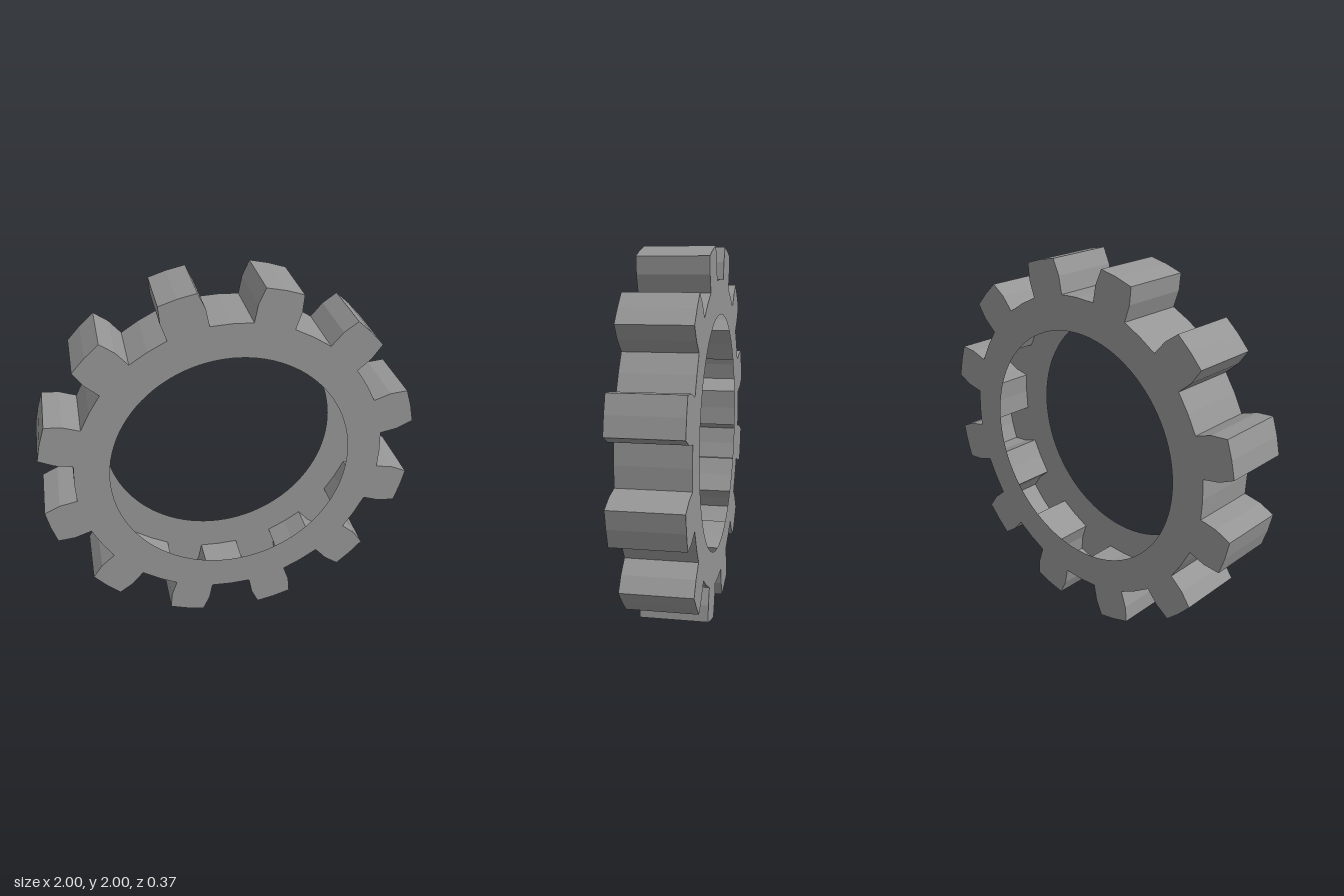
import * as THREE from 'three';

const TEETH = 12;
const HALF_DEPTH = 0.185;
const BORE = 0.645;
const PITCH = (Math.PI * 2) / TEETH;

// One tooth and the gap after it: [angle from tooth centre in degrees, radius]
const TOOTH = [
  [-7.45, 0.832], [-7.1, 0.926], [-5.6, 1.013], [0, 1.013],
  [5.6, 1.013], [7.1, 0.926], [7.45, 0.832], [15, 0.83],
];

// Counter-clockwise outline of the whole gear
function gearOutline() {
  const points = [];
  for (let i = 0; i < TEETH; i++) {
    for (const [degrees, radius] of TOOTH) {
      const a = (i + 0.5) * PITCH + THREE.MathUtils.degToRad(degrees);
      points.push(new THREE.Vector2(Math.cos(a) * radius, Math.sin(a) * radius));
    }
  }
  return points;
}

// Open band that joins the two side plates along the teeth
function rimGeometry(outline) {
  const positions = [];
  const d = HALF_DEPTH;
  outline.forEach((p, i) => {
    const q = outline[(i + 1) % outline.length];
    positions.push(
      p.x, p.y, d, p.x, p.y, -d, q.x, q.y, -d,
      p.x, p.y, d, q.x, q.y, -d, q.x, q.y, d,
    );
  });
  const geometry = new THREE.BufferGeometry();
  geometry.setAttribute('position', new THREE.Float32BufferAttribute(positions, 3));
  geometry.computeVertexNormals();
  return geometry;
}

export function createModel() {
  const gear = new THREE.Group();
  gear.name = 'gear';
  // Mid-grey metal
  const material = new THREE.MeshStandardMaterial({
    color: 0x959595, flatShading: true, side: THREE.DoubleSide,
  });
  const add = (name, geometry) => {
    const mesh = new THREE.Mesh(geometry, material);
    mesh.name = name;
    gear.add(mesh);
    return mesh;
  };

  // Side plates with a round bore; the bore has no wall, so the gear is hollow
  const outline = gearOutline();
  const plate = new THREE.Shape(outline);
  plate.holes.push(new THREE.Path().absarc(0, 0, BORE, 0, Math.PI * 2, true));
  const plateGeometry = new THREE.ShapeGeometry(plate, 48);
  add('frontPlate', plateGeometry).position.z = HALF_DEPTH;
  const back = add('backPlate', plateGeometry);
  back.position.z = -HALF_DEPTH;
  back.rotation.y = Math.PI;

  // Toothed outer rim
  add('toothedRim', rimGeometry(outline));

  gear.position.y = 1;
  return gear;
}
